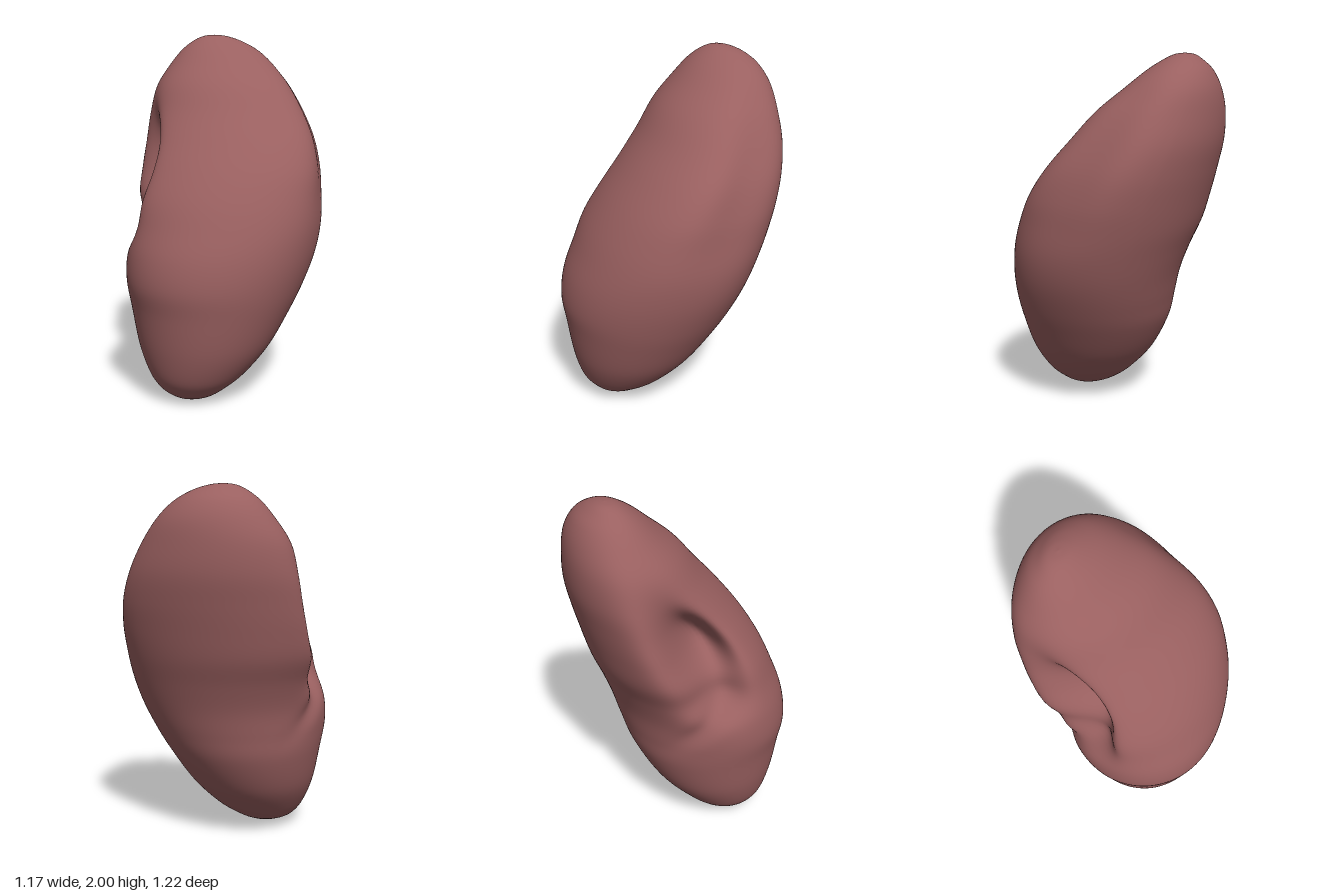
import * as THREE from 'three';

// Horizontal slices of the organ: [y, xMin, xMax, zMin, zMax]
const SLICES = [
  [0, 0.12, 0.12, 0.3, 0.3], [0.008, 0.06, 0.185, 0.235, 0.365], [0.03, 0, 0.25, 0.17, 0.42],
  [0.07, -0.075, 0.305, 0.095, 0.47], [0.15, -0.155, 0.38, -0.02, 0.52], [0.3, -0.26, 0.465, -0.17, 0.56],
  [0.5, -0.335, 0.53, -0.31, 0.59], [0.65, -0.36, 0.565, -0.395, 0.615], [0.8, -0.385, 0.582, -0.465, 0.6],
  [0.95, -0.435, 0.58, -0.52, 0.555], [1.1, -0.5, 0.555, -0.565, 0.51], [1.25, -0.535, 0.51, -0.6, 0.43],
  [1.4, -0.56, 0.425, -0.617, 0.335], [1.55, -0.58, 0.3, -0.605, 0.245], [1.7, -0.575, 0.16, -0.56, 0.165],
  [1.82, -0.54, 0.01, -0.505, 0.07], [1.91, -0.49, -0.11, -0.43, -0.01], [1.965, -0.43, -0.205, -0.345, -0.08],
  [1.992, -0.385, -0.27, -0.265, -0.14], [2, -0.33, -0.33, -0.2, -0.2],
];
const RINGS = 110, SIDES = 120;

const bell = (d, width) => Math.exp(-((d / width) ** 2));

// Depth of the hollow on the inner edge, by angle round the slice and height
function hilumDepth(t, y) {
  const bowl = 0.34 * bell(t - 2.24, 0.34) * bell(y - 1.24, 0.23);
  const notch = 0.1 * bell(t - 2.32, 0.32) * bell(y - 0.96, 0.1);
  // slanting fold above the lower lobe
  const fold = 0.035 * bell(t - (2.25 + 2.2 * (0.95 - y)), 0.18) * bell(y - 0.83, 0.14);
  return bowl + notch + fold;
}

// Flattened outer edge and fuller rear lip, both shifted the same way
function lean(t, y) {
  const outerEdge = 0.085 * bell(t + 0.64, 0.5) * bell(y - 1.36, 0.42);
  const rearLip = 0.03 * bell(t - 2.75, 0.4) * bell(y - 1.35, 0.35);
  return (outerEdge + rearLip) * Math.SQRT1_2;
}

function bodyGeometry() {
  const smooth = (ix, iz) => new THREE.CatmullRomCurve3(
    SLICES.map((s) => new THREE.Vector3(s[ix], s[0], s[iz])), false, 'catmullrom', 0.5);
  const low = smooth(1, 3), high = smooth(2, 4);
  const positions = [], index = [];

  for (let i = 0; i <= RINGS; i++) {
    const a = low.getPoint(i / RINGS), b = high.getPoint(i / RINGS);
    // slices are round below and become slanting ovals above
    const slant = -0.28 * THREE.MathUtils.smoothstep(a.y, 0.4, 1.6);
    // deformations fade out at the upper tip
    const fade = 1 - THREE.MathUtils.smoothstep(a.y, 1.75, 1.99);
    for (let j = 0; j < SIDES; j++) {
      const t = (j / SIDES - 0.25) * Math.PI * 2;
      const depth = hilumDepth(t, a.y) * fade, shift = lean(t, a.y) * fade;
      positions.push(
        (a.x + b.x) / 2 + ((b.x - a.x) / 2) * Math.cos(t) + depth * 0.73 - shift,
        a.y,
        (a.z + b.z) / 2 + ((b.z - a.z) / 2) * Math.sin(t + slant) - depth * 0.58 + shift,
      );
      if (i < RINGS) {
        const k = (j + 1) % SIDES, r = i * SIDES, n = r + SIDES;
        index.push(r + j, n + j, r + k, r + k, n + j, n + k);
      }
    }
  }
  const geometry = new THREE.BufferGeometry();
  geometry.setAttribute('position', new THREE.Float32BufferAttribute(positions, 3));
  geometry.setIndex(index);
  geometry.computeVertexNormals();
  return geometry;
}

export function createModel() {
  const group = new THREE.Group();
  group.name = 'kidney';
  const body = new THREE.Mesh(bodyGeometry(), new THREE.MeshStandardMaterial({ color: 0x9a6060 }));
  body.name = 'kidneyBody';
  group.add(body);
  return group;
}
